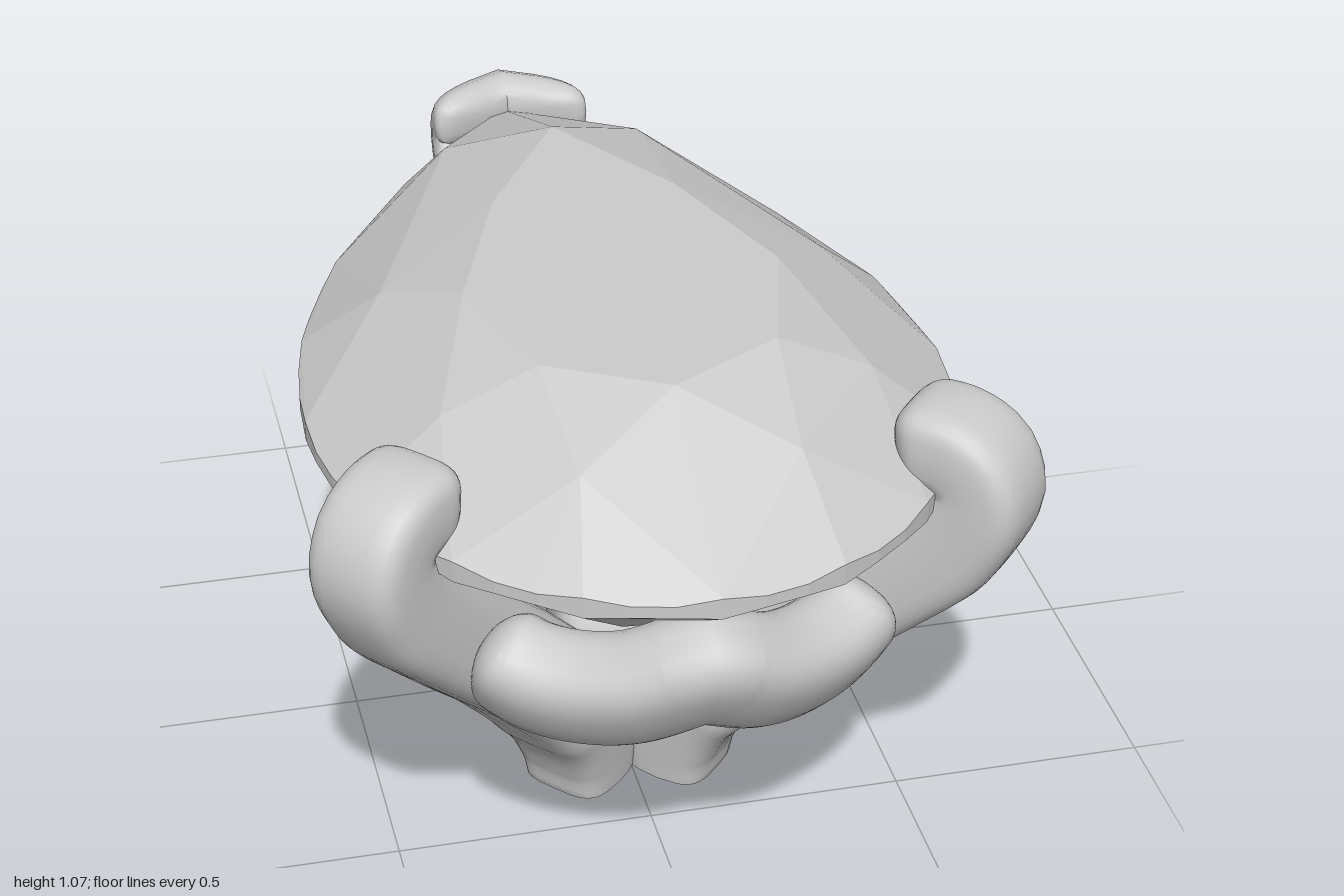
import * as THREE from 'three';
import { toCreasedNormals } from 'three/addons/utils/BufferGeometryUtils.js';
import { ConvexGeometry } from 'three/addons/geometries/ConvexGeometry.js';

const metal = new THREE.MeshStandardMaterial({ color: 0xcccccc });
const V = (x, y, z) => new THREE.Vector3(x, y, z);

// Linear lookup in a list of [t, value] keys
function lookup(keys, t) {
  for (let i = 1; i < keys.length; i++) {
    const [t0, v0] = keys[i - 1], [t1, v1] = keys[i];
    if (t <= t1) return v0 + (v1 - v0) * (t - t0) / (t1 - t0);
  }
  return keys[keys.length - 1][1];
}

// Sweep a rounded-square section along a path. ref(point) gives the section's width direction.
function sweep(points, { ref, width, thick, power = 0.55, roundStart = 0, roundEnd = 0, bend, bendDir }) {
  const N = 72, M = 28;
  const curve = new THREE.CatmullRomCurve3(points, false, 'centripetal');
  const pos = [], idx = [];
  const soft = (c) => Math.sign(c) * Math.pow(Math.abs(c), power);
  for (let i = 0; i <= N; i++) {
    // rings crowd towards the ends to keep the rounded caps smooth
    const t = 0.5 - 0.5 * Math.cos(Math.PI * i / N);
    const p = curve.getPointAt(t), T = curve.getTangentAt(t);
    const B = ref(p);
    B.addScaledVector(T, -B.dot(T)).normalize();
    const A = B.clone().cross(T);
    let s = 1;
    if (t < roundStart) s = Math.sqrt(Math.max(0, 1 - (1 - t / roundStart) ** 2));
    if (t > 1 - roundEnd) s = Math.sqrt(Math.max(0, 1 - ((t - 1 + roundEnd) / roundEnd) ** 2));
    s = Math.max(s, 0.02);
    for (let j = 0; j < M; j++) {
      const f = (j / M) * Math.PI * 2;
      const w = lookup(width, t) * s * soft(Math.sin(f));
      const q = p.clone().addScaledVector(A, lookup(thick, t) * s * soft(Math.cos(f))).addScaledVector(B, w);
      if (bend) q.addScaledVector(bendDir, -lookup(bend, t) * Math.abs(w));
      pos.push(q.x, Math.max(0, q.y), q.z);
    }
  }
  for (let i = 0; i < N; i++) for (let j = 0; j < M; j++) {
    const a = i * M + j, b = i * M + (j + 1) % M, c = b + M, d = a + M;
    idx.push(a, b, c, a, c, d);
  }
  // end caps
  const last = N * M;
  for (let j = 1; j < M - 1; j++) idx.push(0, j + 1, j, last, last + j, last + j + 1);
  const g = new THREE.BufferGeometry();
  g.setAttribute('position', new THREE.Float32BufferAttribute(pos, 3));
  g.setIndex(idx);
  return toCreasedNormals(g, 0.9);
}

// Pear outline: half ellipse at the front, parabolic flanks meeting in a point at the back
function girdle(t) {
  const a = Math.abs(t);
  if (a <= Math.PI / 2) return [0.61 * Math.sin(t), 0.27 + 0.73 * Math.cos(t)];
  const q = a / (Math.PI / 2) - 1;
  return [Math.sign(t) * 0.61 * (1 - q * q), 0.27 - 1.18 * q];
}

// Faceted stone as the hull of table, crown, girdle and culet points
function gem() {
  const pts = [V(0, 0.28, 0.25)];
  const both = (x, y, z) => pts.push(V(x, y, z), V(-x, y, z));
  for (const [x, z] of [[0, 0.64], [0.22, 0.52], [0.3, 0.23], [0.18, -0.1], [0, -0.39]]) both(x, 1.066, z);
  for (const [x, z] of [[0.2, 0.77], [0.4, 0.52], [0.43, 0.06], [0.2, -0.5]]) both(x, 0.985, z);
  const n = 48;
  for (let i = 0; i < n; i++) {
    const [x, z] = girdle(-Math.PI + (i / n) * 2 * Math.PI);
    const wave = 0.006 * Math.cos((i / n) * 32 * Math.PI);
    pts.push(V(x, 0.845 + wave, z), V(x, 0.815 - wave, z));
  }
  return new ConvexGeometry(pts);
}

// Prong drawn in a vertical plane: profile of [distance outward, height]
function prong(origin, dir, profile, opts) {
  const pts = profile.map(([r, y]) => origin.clone().addScaledVector(dir, r).setY(y));
  const side = V(0, 1, 0).cross(dir);
  return sweep(pts, { ref: () => side.clone(), bendDir: dir, ...opts });
}

// Gallery rail leaning outward with the stone's underside
function rail(path, opts) {
  const ref = (p) => V(p.x, 0, p.z - 0.2).normalize().multiplyScalar(0.6).add(V(0, 1, 0));
  return sweep(path.map(([x, z, y]) => V(x, y, z)), { ref, power: 0.75, ...opts });
}

export function createModel() {
  const group = new THREE.Group();
  const add = (geometry, name) => {
    const m = new THREE.Mesh(geometry, metal);
    m.name = name;
    group.add(m);
  };

  add(gem(), 'pearCutStone');

  // Front prongs
  const frontProfile = [[0, 0], [0.01, 0.08], [0.06, 0.2], [0.235, 0.4], [0.45, 0.6], [0.57, 0.72],
    [0.625, 0.82], [0.61, 0.88], [0.565, 0.908], [0.515, 0.913], [0.45, 0.905]];
  for (const s of [1, -1]) {
    add(prong(V(s * 0.1, 0, 0.315), V(s * 0.74, 0, 0.67).normalize(), frontProfile, {
      width: [[0, 0.092], [0.18, 0.122], [0.35, 0.11], [0.75, 0.1], [1, 0.1]],
      thick: [[0, 0.088], [0.2, 0.115], [0.72, 0.105], [0.85, 0.085], [1, 0.08]],
      roundEnd: 0.05,
    }), s > 0 ? 'frontProngLeft' : 'frontProngRight');
  }

  // Back prong, folding into a chevron around the stone's point
  const backProfile = [[-0.01, 0], [-0.005, 0.1], [0.025, 0.22], [0.14, 0.36], [0.4, 0.465], [0.67, 0.55],
    [0.88, 0.65], [1.01, 0.77], [1.055, 0.84], [1.04, 0.872], [1.0, 0.88], [0.965, 0.878]];
  add(prong(V(0, 0, 0.12), V(0, 0, -1), backProfile, {
    width: [[0, 0.11], [0.5, 0.125], [0.85, 0.165], [1, 0.165]],
    thick: [[0, 0.08], [0.12, 0.11], [0.25, 0.112], [0.5, 0.095], [0.75, 0.085], [0.88, 0.068], [1, 0.06]],
    bend: [[0, 0], [0.5, 0.1], [0.88, 0.48], [1, 0.55]],
    roundEnd: 0.035,
  }), 'backProng');

  // Front rail, peaked in the middle
  const half = [[0.03, 0.868, 0.612], [0.12, 0.83, 0.565], [0.2, 0.785, 0.545], [0.28, 0.735, 0.55], [0.36, 0.675, 0.59]];
  const mirror = half.map(([x, z, y]) => [-x, z, y]).reverse();
  add(rail([...mirror, [0, 0.878, 0.628], ...half], {
    width: [[0, 0.118], [1, 0.118]], thick: [[0, 0.09], [1, 0.09]], roundStart: 0.07, roundEnd: 0.07,
  }), 'frontRail');

  // Side rails from front prong to back prong
  const sidePath = [[0.42, 0.64, 0.64], [0.44, 0.45, 0.575], [0.42, 0.2, 0.53], [0.41, 0, 0.565],
    [0.395, -0.17, 0.615], [0.32, -0.32, 0.565], [0.22, -0.46, 0.555], [0.13, -0.57, 0.615], [0.08, -0.67, 0.68], [0.03, -0.78, 0.72]];
  for (const s of [1, -1]) {
    add(rail(sidePath.map(([x, z, y]) => [s * x, z, y]), {
      width: [[0, 0.12], [0.78, 0.113], [0.9, 0.08], [1, 0.05]], thick: [[0, 0.09], [0.8, 0.085], [1, 0.05]],
      roundStart: 0.06, roundEnd: 0.06,
    }), s > 0 ? 'sideRailLeft' : 'sideRailRight');
  }
  return group;
}
